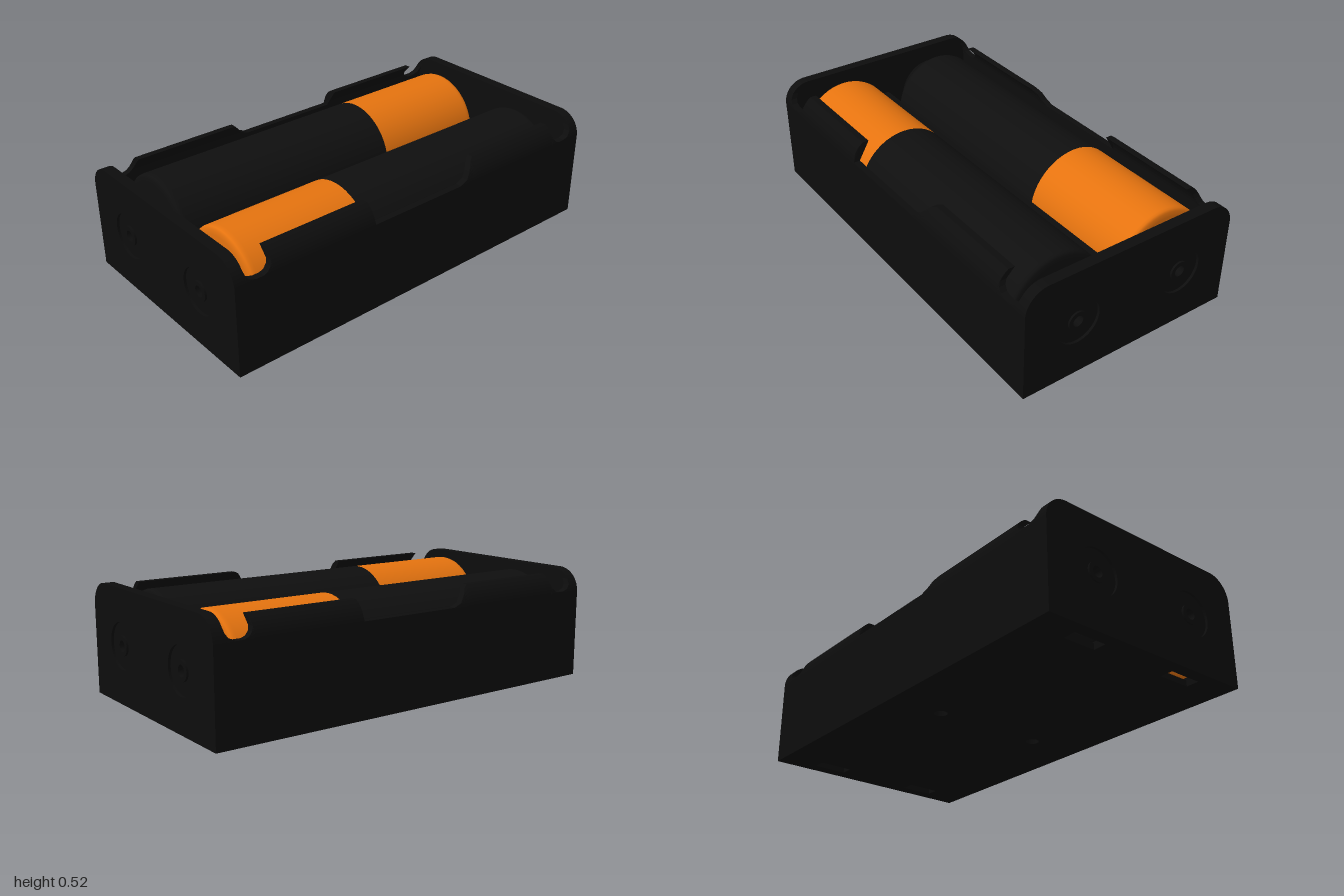
import * as THREE from 'three';

const plastic = new THREE.MeshStandardMaterial({ color: 0x0d0d0d, side: THREE.DoubleSide });
plastic.name = 'black plastic';
const sleeve = new THREE.MeshStandardMaterial({ color: 0x0f0f0f });
sleeve.name = 'battery black';
const copper = new THREE.MeshStandardMaterial({ color: 0xe5730f });
copper.name = 'battery orange';

const LANE = 0.27, AXIS_Y = 0.265, HALF_Z = 0.535, ROUND = 0.11, TOP = 0.52;

function add(parent, name, geometry, material) {
  const mesh = new THREE.Mesh(geometry, material);
  mesh.name = name;
  parent.add(mesh);
  return mesh;
}

function circleHole(x, y, r) {
  const p = new THREE.Path();
  p.absarc(x, y, r, 0, Math.PI * 2, true);
  return p;
}

function rectHole(x, y, w, h) {
  const [a, b, c, d] = [x - w / 2, x + w / 2, y - h / 2, y + h / 2];
  return new THREE.Path([[a, c], [a, d], [b, d], [b, c]].map(p => new THREE.Vector2(...p)));
}

// Solid of revolution along x, from [radius, x] points
function turned(points) {
  return new THREE.LatheGeometry(points.map(p => new THREE.Vector2(...p)), 48).rotateZ(-Math.PI / 2);
}

// Plate in the z-y plane, extruded along +x
function endPlate(shape, depth) {
  return new THREE.ExtrudeGeometry(shape, { depth, bevelEnabled: false, curveSegments: 24 }).rotateY(Math.PI / 2);
}

// Long wall whose curled-in rim is cut to a height that varies along x
function sideWallGeometry() {
  const notch = [[0.95, 0.475], [0.945, 0.45], [0.93, 0.43], [0.9, 0.42], [0.865, 0.42],
    [0.845, 0.427], [0.828, 0.445], [0.821, 0.465], [0.82, 0.505]];
  const stations = [
    ...notch.map(([x, h]) => [-x, h]),
    [-0.32, 0.505], [-0.295, 0.495], [-0.265, 0.465], [-0.24, 0.435], [-0.2, 0.42],
    [0.295, 0.42], [0.3, 0.505],
    ...notch.slice().reverse()
  ];
  const base = TOP - ROUND, steps = 7;
  const outer = y => {
    const d = Math.max(0, y - base);
    return HALF_Z - ROUND + Math.sqrt(ROUND * ROUND - d * d);
  };
  const section = ([x, h]) => {
    const up = [[0, HALF_Z]];
    for (let i = 0; i <= steps; i++) {
      const y = base + (h - base) * i / steps;
      up.push([y, outer(y)]);
    }
    const down = up.slice().reverse().map(([y, z]) => [y, z - 0.03]);
    return [...up, ...down].map(([y, z]) => [x, y, -z]);
  };
  const rings = stations.map(section), n = rings[0].length, pos = [];
  for (let i = 0; i < rings.length - 1; i++) {
    for (let j = 0; j < n; j++) {
      const k = (j + 1) % n, a = rings[i], b = rings[i + 1];
      pos.push(...a[j], ...a[k], ...b[k], ...a[j], ...b[k], ...b[j]);
    }
  }
  const g = new THREE.BufferGeometry();
  g.setAttribute('position', new THREE.Float32BufferAttribute(pos, 3));
  g.computeVertexNormals();
  return g;
}

// End wall with rounded top corners and two recessed rivets
function addEndWall(parent) {
  const s = new THREE.Shape();
  s.moveTo(-HALF_Z, 0);
  s.lineTo(HALF_Z, 0);
  s.lineTo(HALF_Z, TOP - ROUND);
  s.absarc(HALF_Z - ROUND, TOP - ROUND, ROUND, 0, Math.PI / 2, false);
  s.absarc(-HALF_Z + ROUND, TOP - ROUND, ROUND, Math.PI / 2, Math.PI, false);
  for (const z of [-LANE, LANE]) s.holes.push(circleHole(z, AXIS_Y, 0.105));
  add(parent, 'endWall', endPlate(s, 0.05), plastic).position.x = 0.95;

  for (const z of [-LANE, LANE]) {
    for (const [name, r, depth] of [['contactRecess', 0.105, 0.038], ['rivetRing', 0.045, 0.047]]) {
      const disc = new THREE.Shape();
      disc.absarc(0, 0, r, 0, Math.PI * 2, false);
      disc.holes.push(circleHole(0, 0, 0.025));
      add(parent, name, endPlate(disc, depth), plastic).position.set(0.95, AXIS_Y, z);
    }
  }
}

// Battery lying along x with its positive end at +x
function addBattery(parent) {
  const battery = new THREE.Group();
  battery.name = 'battery';
  battery.position.set(0, AXIS_Y, -LANE);
  parent.add(battery);
  const R = 0.235;
  add(battery, 'batteryBody', turned([[0, -0.86], [0.2, -0.86], [0.222, -0.859], [0.232, -0.852],
    [R, -0.84], [R, -0.83], [R, 0.29]]), sleeve);
  add(battery, 'batteryPositiveBand', turned([[R, 0.29], [R, 0.85], [R, 0.862], [0.232, 0.873],
    [0.222, 0.88], [0.2, 0.881], [0, 0.881]]), copper);
  add(battery, 'batteryTerminal', turned([[0.08, 0.875], [0.08, 0.918], [0.078, 0.927],
    [0.07, 0.931], [0.06, 0.931], [0, 0.931]]), copper);

  // Conical contact spring at the negative end
  const pts = [];
  for (let i = 0; i <= 60; i++) {
    const t = i / 60, a = t * Math.PI * 5, r = 0.16 - 0.08 * t;
    pts.push(new THREE.Vector3(-0.945 + 0.08 * t, Math.cos(a) * r, Math.sin(a) * r));
  }
  add(battery, 'contactSpring', new THREE.TubeGeometry(new THREE.CatmullRomCurve3(pts), 140, 0.011, 6), plastic);
}

export function createModel() {
  const model = new THREE.Group();
  model.name = 'batteryHolder';

  // Floor with contact slots and two screw holes
  const floor = new THREE.Shape([[-0.95, -0.51], [0.95, -0.51], [0.95, 0.51], [-0.95, 0.51]]
    .map(p => new THREE.Vector2(...p)));
  for (const z of [-LANE, LANE]) {
    floor.holes.push(circleHole(0, z, 0.03));
    for (const x of [-0.91, 0.91]) floor.holes.push(rectHole(x, z, 0.06, 0.16));
  }
  add(model, 'floor', new THREE.ExtrudeGeometry(floor, { depth: 0.028, bevelEnabled: false })
    .rotateX(-Math.PI / 2), plastic);

  // Rib between the two batteries
  add(model, 'divider', new THREE.BoxGeometry(1.9, 0.3, 0.05), plastic).position.y = 0.17;

  // The holder is the same when turned half round
  for (const turn of [0, Math.PI]) {
    const half = new THREE.Group();
    half.name = turn ? 'frontHalf' : 'backHalf';
    half.rotation.y = turn;
    model.add(half);
    add(half, 'sideWall', sideWallGeometry(), plastic);
    addEndWall(half);
    addBattery(half);
  }
  return model;
}
